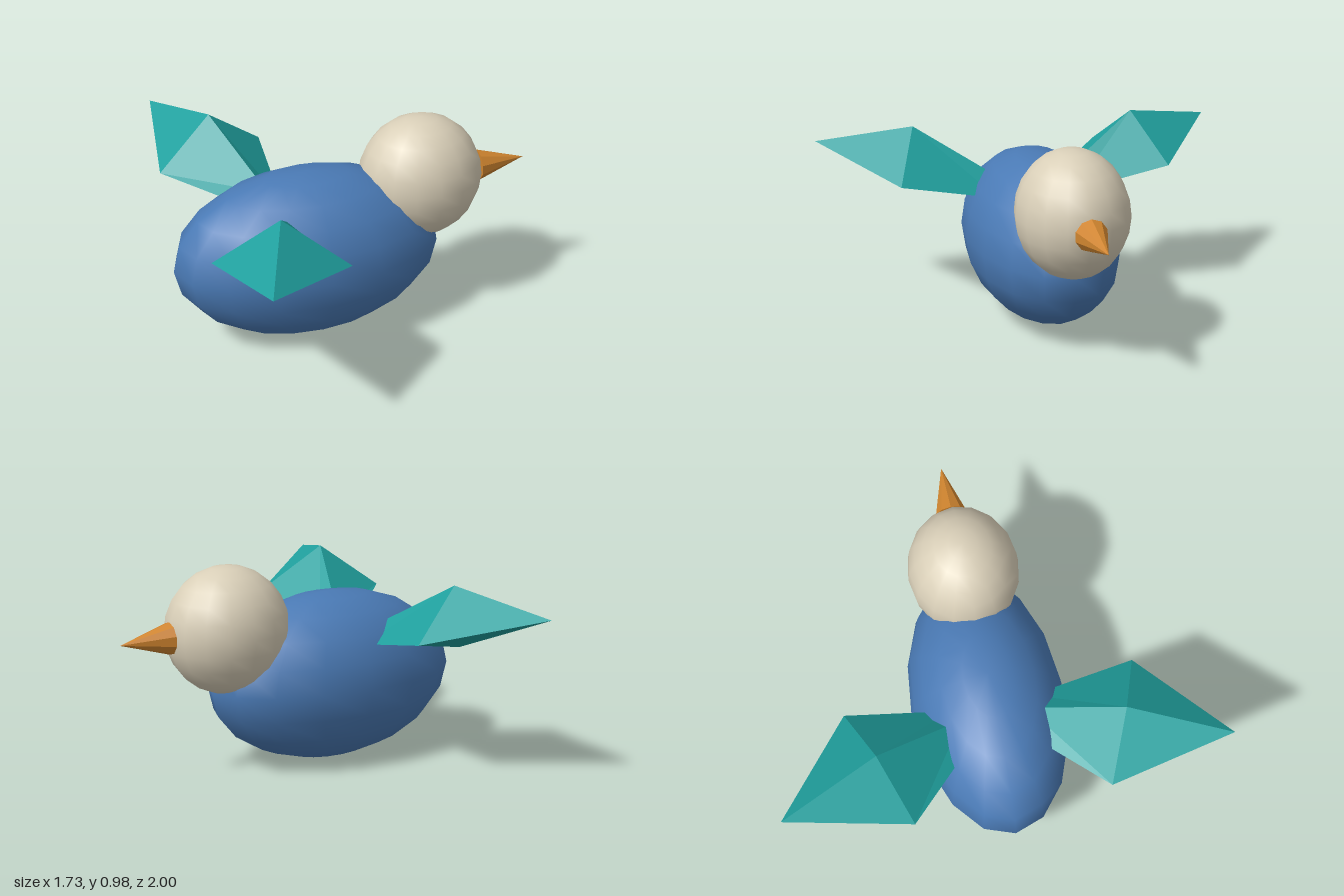
import * as THREE from 'three';

const mat = (name, color, flatShading = false) => {
  const m = new THREE.MeshStandardMaterial({ color, flatShading });
  m.name = name;
  return m;
};

// Smooth ellipsoid with its poles on y
function ellipsoid(name, material, rows, radii, position) {
  const geo = new THREE.SphereGeometry(1, 16, rows);
  geo.scale(...radii);
  const mesh = new THREE.Mesh(geo, material);
  mesh.name = name;
  mesh.position.set(...position);
  return mesh;
}

// Faceted wing: four-cornered root and middle sections closing to a pointed tip.
// Each section runs ridge, front, underside, rear.
function wingGeometry(side) {
  const root = [[-0.37, 0.64, 0.15], [-0.295, 0.57, 0.19], [-0.38, 0.553, 0.17], [-0.49, 0.6, 0.14]];
  const middle = [[-0.53, 0.89, 0.55], [-0.255, 0.675, 0.66], [-0.57, 0.6, 0.55], [-0.805, 0.68, 0.44]];
  const tip = [-0.71, 0.8, 1];
  const points = [];
  const tri = (a, b, c) => {
    const corners = side > 0 ? [a, b, c] : [a, c, b];
    for (const [x, y, z] of corners) points.push(x, y, z * side);
  };
  for (let i = 0; i < 4; i++) {
    const j = (i + 1) % 4;
    tri(tip, middle[j], middle[i]);
    tri(middle[i], middle[j], root[j]);
    tri(middle[i], root[j], root[i]);
  }
  tri(root[0], root[1], root[2]);
  tri(root[0], root[2], root[3]);
  const geo = new THREE.BufferGeometry();
  geo.setAttribute('position', new THREE.Float32BufferAttribute(points, 3));
  geo.computeVertexNormals();
  return geo;
}

export function createModel() {
  const bird = new THREE.Group();
  bird.name = 'bird';

  const blue = mat('body blue', 0x4a7ab5);
  const cream = mat('head cream', 0xd9cfb8);
  const teal = mat('wing teal', 0x20a09e, true);
  const orange = mat('beak orange', 0xd0852f, true);

  bird.add(ellipsoid('body', blue, 10, [0.64, 0.4, 0.36], [-0.23, 0.4, 0]));
  bird.add(ellipsoid('head', cream, 12, [0.293, 0.295, 0.258], [0.328, 0.685, 0]));

  // Beak pointing along +x
  const beakGeo = new THREE.ConeGeometry(0.074, 0.24, 10);
  beakGeo.rotateY(Math.PI / 2);
  beakGeo.rotateZ(-Math.PI / 2);
  const beak = new THREE.Mesh(beakGeo, orange);
  beak.name = 'beak';
  beak.position.set(0.74, 0.682, 0);
  bird.add(beak);

  // Mirrored pair of raised wings
  for (const side of [1, -1]) {
    const wing = new THREE.Mesh(wingGeometry(side), teal);
    wing.name = side > 0 ? 'frontWing' : 'backWing';
    bird.add(wing);
  }
  return bird;
}
